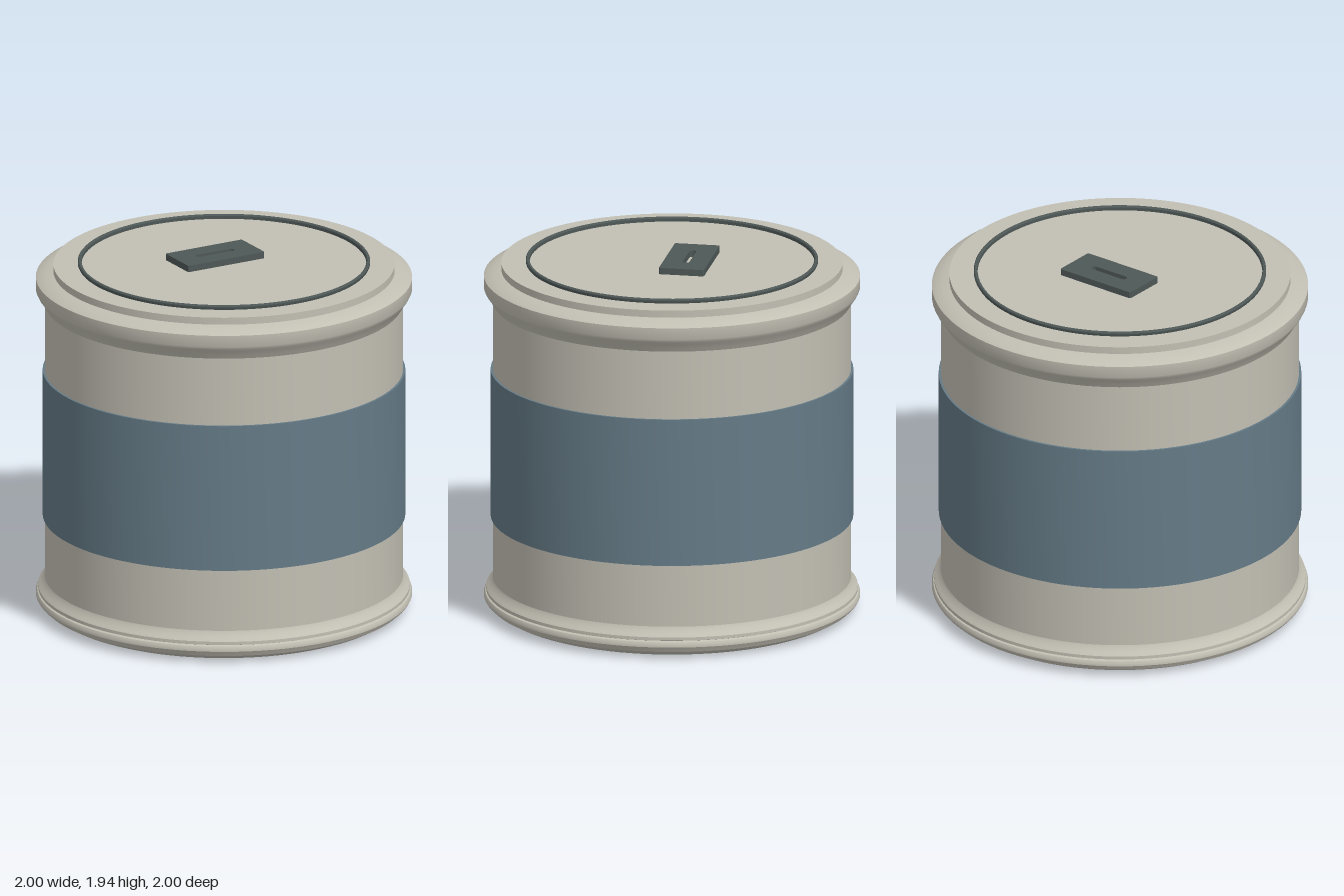
import * as THREE from 'three';
import { toCreasedNormals } from 'three/addons/utils/BufferGeometryUtils.js';

export function createModel() {
  const group = new THREE.Group();
  const material = (name, color) => {
    const m = new THREE.MeshStandardMaterial({ color });
    m.name = name;
    return m;
  };
  const stone = material('warm grey', 0xc2bfb3);
  const blue = material('slate blue', 0x657b87);
  const dark = material('dark grey', 0x4e5857);

  const add = (name, geometry, mat) => {
    const mesh = new THREE.Mesh(geometry, mat);
    mesh.name = name;
    group.add(mesh);
    return mesh;
  };
  // Profiles run bottom to top as [radius, height]
  const turned = (name, profile, mat) => {
    const points = profile.map(([r, y]) => new THREE.Vector2(r, y));
    return add(name, toCreasedNormals(new THREE.LatheGeometry(points, 96), 0.5), mat);
  };

  // Foot with a chamfered underside and two rolled beads
  turned('base', [
    [0, 0], [0.9, 0], [0.925, 0.01], [0.97, 0.035], [0.98, 0.053],
    [0.993, 0.056], [1, 0.068], [1, 0.082], [0.993, 0.095], [0.98, 0.1],
    [0.988, 0.103], [0.988, 0.12], [0.975, 0.135], [0.958, 0.155], [0.952, 0.17],
  ], stone);

  // Straight drum wall
  turned('body', [[0.952, 0.16], [0.952, 1.72]], stone);

  // Coloured sleeve around the drum
  turned('band', [[0.95, 0.51], [0.964, 0.51], [0.964, 1.32], [0.95, 1.32]], blue);

  // Flared lid with a raised top disc
  turned('lid', [
    [0.952, 1.695], [0.962, 1.712], [0.98, 1.743], [0.992, 1.758], [1, 1.775],
    [1, 1.838], [0.985, 1.847], [0.945, 1.862], [0.907, 1.87],
    [0.907, 1.909], [0, 1.909],
  ], stone);

  // Thin raised ring on the lid
  turned('lidRing', [
    [0.757, 1.905], [0.772, 1.905], [0.777, 1.915], [0.777, 1.926],
    [0.772, 1.932], [0.762, 1.932], [0.757, 1.926], [0.757, 1.905],
  ], dark);

  // Rounded rectangle outline centred on the origin
  const roundedRect = (target, w, h, r) => {
    const x = w / 2 - r, y = h / 2 - r;
    target.absarc(x, y, r, 0, Math.PI / 2);
    target.absarc(-x, y, r, Math.PI / 2, Math.PI);
    target.absarc(-x, -y, r, Math.PI, Math.PI * 1.5);
    target.absarc(x, -y, r, Math.PI * 1.5, Math.PI * 2);
    target.closePath();
    return target;
  };

  // Slotted plate, set towards the back of the lid
  const plate = roundedRect(new THREE.Shape(), 0.47, 0.243, 0.01);
  plate.holes.push(roundedRect(new THREE.Path(), 0.23, 0.036, 0.016));
  const slotPlate = add('slotPlate', new THREE.ExtrudeGeometry(plate, {
    depth: 0.038, bevelEnabled: false, curveSegments: 6,
  }), dark);
  slotPlate.rotation.x = -Math.PI / 2;
  slotPlate.position.set(0, 1.906, -0.094);

  return group;
}
